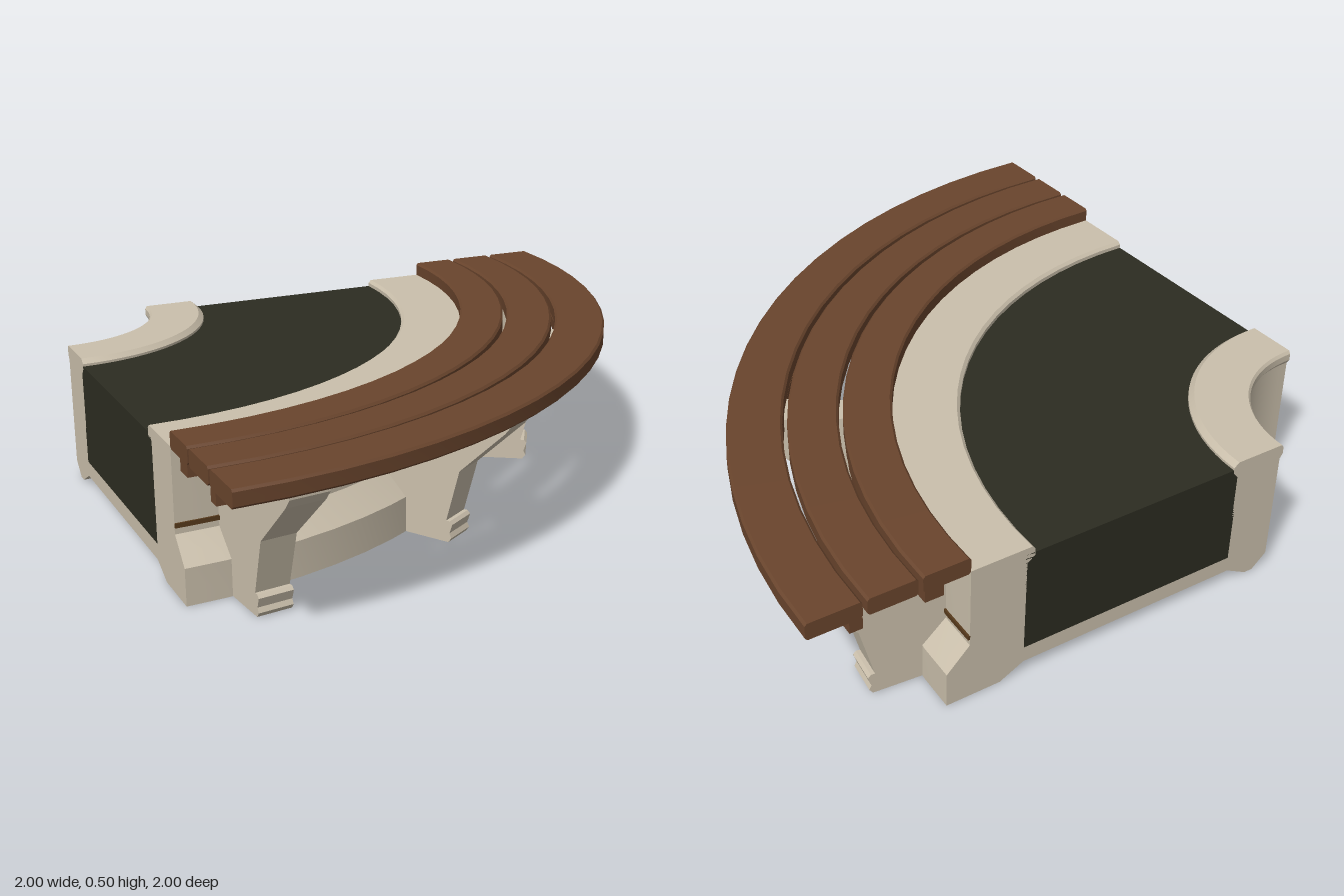
import * as THREE from 'three';
import { mergeGeometries, toCreasedNormals } from 'three/addons/utils/BufferGeometryUtils.js';

const material = (name, color) => {
  const m = new THREE.MeshStandardMaterial({ color });
  m.name = name;
  return m;
};

// Quarter-turn solid from a closed counter-clockwise (radius, height) profile
function quarterRing(profile, segments = 20) {
  const pts = profile.map(([r, y]) => new THREE.Vector2(r, y));
  const side = new THREE.LatheGeometry([...pts, pts[0].clone()], segments, 0, Math.PI / 2);
  const startCap = new THREE.ShapeGeometry(new THREE.Shape(pts)).rotateY(-Math.PI / 2);
  const endCap = new THREE.ShapeGeometry(new THREE.Shape(pts));
  // turn the second cap to face the other way
  const index = endCap.index;
  for (let i = 0; i < index.count; i += 3) {
    const b = index.getX(i + 1);
    index.setX(i + 1, index.getX(i + 2));
    index.setX(i + 2, b);
  }
  endCap.computeVertexNormals();
  return mergeGeometries([
    toCreasedNormals(side.toNonIndexed(), 0.3),
    startCap.toNonIndexed(),
    endCap.toNonIndexed(),
  ]);
}

// Radial slab from a (radius, height) outline, its thickness growing with radius
function wedge(outline, spread = 0.063) {
  const shape = new THREE.Shape(outline.map(([r, y]) => new THREE.Vector2(r, y)));
  const geometry = new THREE.ExtrudeGeometry(shape, { depth: 1, bevelEnabled: false });
  const p = geometry.attributes.position;
  for (let i = 0; i < p.count; i++) p.setZ(i, (p.getZ(i) - 0.5) * p.getX(i) * spread);
  geometry.computeVertexNormals();
  return geometry;
}

// Rectangle profile with chamfered corners
const chamfered = (r0, r1, y0, y1, c) => [
  [r0 + c, y0], [r1 - c, y0], [r1, y0 + c], [r1, y1 - c],
  [r1 - c, y1], [r0 + c, y1], [r0, y1 - c], [r0, y0 + c],
];
const rectangle = (r0, r1, y0, y1) => [[r0, y0], [r1, y0], [r1, y1], [r0, y1]];

export function createModel() {
  const concrete = material('concrete', 0xcbc0ac);
  const wood = material('wood', 0x6a452d);
  const soilColor = material('soil', 0x2c2c21);
  const bronze = material('bronze', 0x573a1c);

  const model = new THREE.Group();
  model.name = 'curvedPlanterBench';
  // everything turns about one corner of the footprint
  const ring = new THREE.Group();
  ring.name = 'quarterRing';
  ring.position.set(-1, 0, -1);
  model.add(ring);

  const add = (name, geometry, mat, parent = ring) => {
    const mesh = new THREE.Mesh(geometry, mat);
    mesh.name = name;
    parent.add(mesh);
  };

  // Outer wall with flared base and inward lip
  add('outerWall', quarterRing([
    [1.395, 0], [1.575, 0], [1.575, 0.115], [1.5, 0.19], [1.5, 0.453],
    [1.3, 0.453], [1.29, 0.443], [1.29, 0.42], [1.315, 0.4], [1.315, 0.04],
  ]), concrete);

  // Inner wall with a lip and a foot chamfered on both sides
  add('innerWall', quarterRing([
    [0.445, 0], [0.475, 0], [0.56, 0.045], [0.56, 0.4], [0.577, 0.42],
    [0.577, 0.438], [0.56, 0.453], [0.392, 0.453], [0.385, 0.443],
    [0.385, 0.42], [0.395, 0.405], [0.395, 0.045],
  ]), concrete);

  // Planter floor and earth filling
  add('floorSlab', quarterRing(rectangle(0.55, 1.325, 0.04, 0.092)), concrete);
  add('soil', quarterRing(rectangle(0.555, 1.32, 0.092, 0.43)), soilColor);

  // Thin band around the outer wall
  add('trimBand', quarterRing(rectangle(1.498, 1.506, 0.21, 0.224)), bronze);

  // Seat planks with open gaps, and the battens beneath them
  [[1.5, 1.65], [1.664, 1.818], [1.832, 2]].forEach(([r0, r1], i) =>
    add(`seatPlank${i + 1}`, quarterRing(chamfered(r0, r1, 0.446, 0.5, 0.007)), wood));
  [[1.585, 1.645], [1.833, 1.873]].forEach(([r0, r1], i) =>
    add(`batten${i + 1}`, quarterRing(rectangle(r0, r1, 0.41, 0.447)), wood));

  // Radial brackets carrying the seat, each on a block foot
  const webGeometry = wedge([
    [1.45, 0.07], [1.722, 0.07], [1.768, 0.24], [1.925, 0.39],
    [1.948, 0.42], [1.948, 0.446], [1.45, 0.446],
  ]);
  const footGeometry = wedge([
    [1.45, 0], [1.73, 0], [1.741, 0.015], [1.734, 0.03],
    [1.744, 0.06], [1.735, 0.07], [1.45, 0.07],
  ]);
  [6.9, 31.8, 58.2, 83.1].forEach((degrees, i) => {
    const bracket = new THREE.Group();
    bracket.name = `bracket${i + 1}`;
    bracket.rotation.y = THREE.MathUtils.degToRad(degrees - 90);
    add('bracketWeb', webGeometry, concrete, bracket);
    add('bracketFoot', footGeometry, concrete, bracket);
    ring.add(bracket);
  });

  return model;
}
